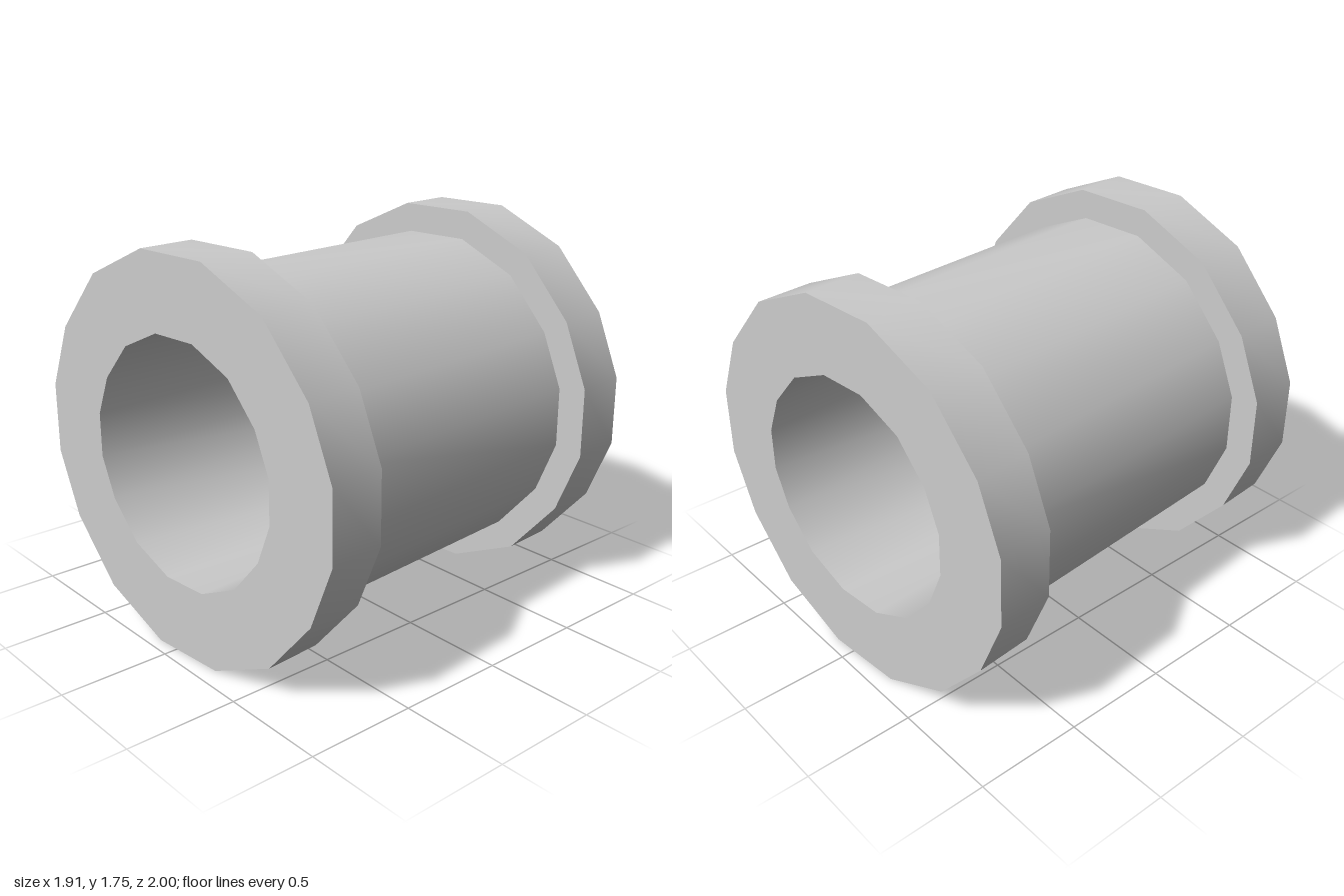
import * as THREE from 'three';
import { toCreasedNormals } from 'three/addons/utils/BufferGeometryUtils.js';

// One quadrant of the 16-sided outline at flange size, mirrored to a full loop
const quadrant = [[0.885, 0.16], [0.767, 0.451], [0.527, 0.725], [0.187, 0.8775]];
const back = [...quadrant].reverse();
const outline = [
  ...quadrant,
  ...back.map(([x, y]) => [-x, y]),
  ...quadrant.map(([x, y]) => [-x, -y]),
  ...back.map(([x, y]) => [x, -y]),
];

const BORE = 0.617, BARREL = 0.849, FLANGE = 1; // outline scales
const END = 0.934, INNER = 0.672;               // positions along the axis

const material = new THREE.MeshStandardMaterial({ color: 0xcccccc });

// Skins a profile of [outline scale, z] pairs around the axis
function skin(name, profile) {
  const n = outline.length, positions = [], index = [];
  for (const [s, z] of profile)
    for (const [x, y] of outline) positions.push(x * s, y * s, z);
  for (let j = 0; j < profile.length - 1; j++)
    for (let i = 0; i < n; i++) {
      const a = j * n + i, b = j * n + (i + 1) % n;
      index.push(a, b, b + n, a, b + n, a + n);
    }
  const geometry = new THREE.BufferGeometry();
  geometry.setAttribute('position', new THREE.Float32BufferAttribute(positions, 3));
  geometry.setIndex(index);
  const mesh = new THREE.Mesh(toCreasedNormals(geometry, 0.7), material);
  mesh.name = name;
  return mesh;
}

export function createModel() {
  const model = new THREE.Group();
  model.name = 'flangedBushing';

  const flange = [[BARREL, INNER], [FLANGE, INNER], [FLANGE, END], [BORE, END]];
  model.add(
    skin('barrel', [[BARREL, -INNER], [BARREL, INNER]]),
    skin('bore', [[BORE, END], [BORE, -END]]),
    skin('frontFlange', flange),
    skin('backFlange', flange.map(([s, z]) => [s, -z]).reverse()),
  );

  // Slightly turned about the vertical, resting on the ground
  model.rotation.y = THREE.MathUtils.degToRad(4.5);
  model.position.y = 0.8775;
  const root = new THREE.Group();
  root.add(model);
  return root;
}
